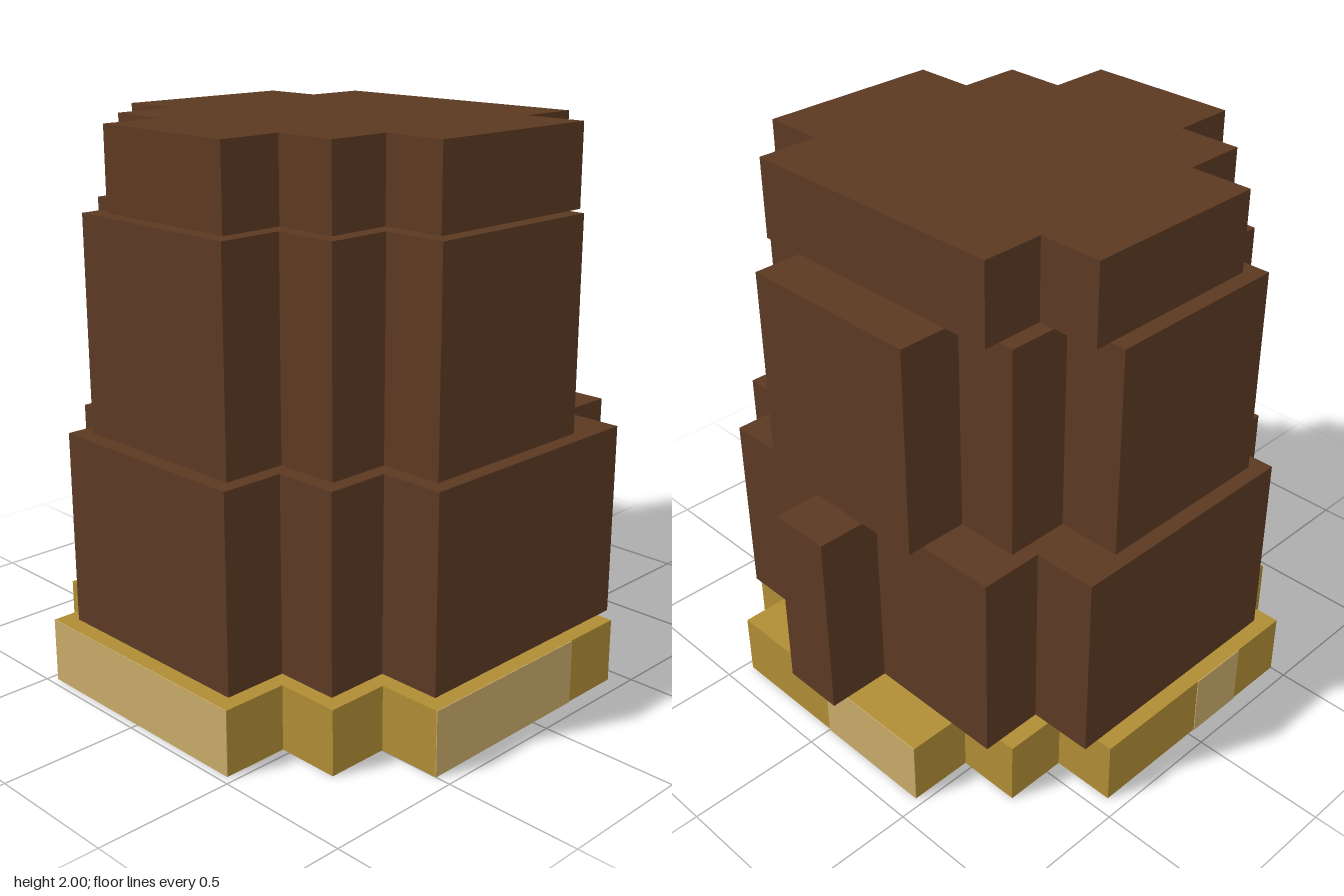
import * as THREE from 'three';

const brown = new THREE.MeshStandardMaterial({ color: 0x5c3922 });
brown.name = 'dark brown';
const gold = new THREE.MeshStandardMaterial({ color: 0xb08d35 });
gold.name = 'gold';
const tan = new THREE.MeshStandardMaterial({ color: 0xc9aa69 });
tan.name = 'light tan';

// Stepped slab, mirrored in x. Each row is [half width, front z, back z],
// from the narrowest row to the widest; equal back z values make a flat back.
function tier(name, rows, y0, y1, material) {
  const half = [];
  for (const [x, front] of rows) half.push([x, front]), half.push([x, null]);
  for (let i = 0; i < rows.length; i++) {
    half[2 * i + 1][1] = i + 1 < rows.length ? rows[i + 1][1] : rows[i][2];
  }
  for (let i = rows.length - 2; i >= 0; i--) {
    const back = rows[i][2];
    if (back === rows[i + 1][2]) continue;
    half.push([rows[i][0], rows[i + 1][2]], [rows[i][0], back]);
  }
  const outline = [...half, ...half.map(([x, z]) => [-x, z]).reverse()];
  const shape = new THREE.Shape(outline.map(([x, z]) => new THREE.Vector2(x, -z)));
  const geometry = new THREE.ExtrudeGeometry(shape, { depth: y1 - y0, bevelEnabled: false });
  geometry.rotateX(-Math.PI / 2);
  const mesh = new THREE.Mesh(geometry, material);
  mesh.name = name;
  mesh.position.y = y0;
  return mesh;
}

function box(name, [x0, x1], [y0, y1], [z0, z1], material) {
  const mesh = new THREE.Mesh(new THREE.BoxGeometry(x1 - x0, y1 - y0, z1 - z0), material);
  mesh.name = name;
  mesh.position.set((x0 + x1) / 2, (y0 + y1) / 2, (z0 + z1) / 2);
  return mesh;
}

export function createModel() {
  const group = new THREE.Group();
  group.name = 'steppedTower';
  const h = [0, 0.236, 0.94, 1.707, 2];

  // Stacked tiers, each a little narrower than the one below
  group.add(
    tier('baseBand', [[0.47, 0.97, -0.91], [0.705, 0.73, -0.675], [0.94, 0.5, -0.44]], h[0], h[1], gold),
    tier('lowerTier', [[0.41, 0.91, -0.735], [0.645, 0.675, -0.735], [0.88, 0.44, -0.5]], h[1], h[2], brown),
    tier('middleTier', [[0.353, 0.85, -0.795], [0.588, 0.615, -0.56], [0.823, 0.38, -0.323]], h[2], h[3], brown),
    tier('topTier', [[0.293, 0.793, -0.615], [0.528, 0.557, -0.615], [0.763, 0.32, -0.383]], h[3], h[4], brown)
  );

  // Ridge on the back of the lower tier
  group.add(box('backRidge', [-0.117, 0.117], [h[1], h[2]], [-0.97, -0.735], brown));

  // Light panels on the base band
  const t = 0.003, y = [h[0], h[1]];
  group.add(
    box('frontPanel', [-0.47, 0.47], y, [0.97, 0.97 + t], tan),
    box('leftPanel', [0.94, 0.94 + t], y, [-0.205, 0.5], tan),
    box('rightPanel', [-0.94 - t, -0.94], y, [0.03, 0.265], tan),
    box('backPanel', [-0.47, 0], y, [-0.91 - t, -0.91], tan)
  );
  return group;
}
